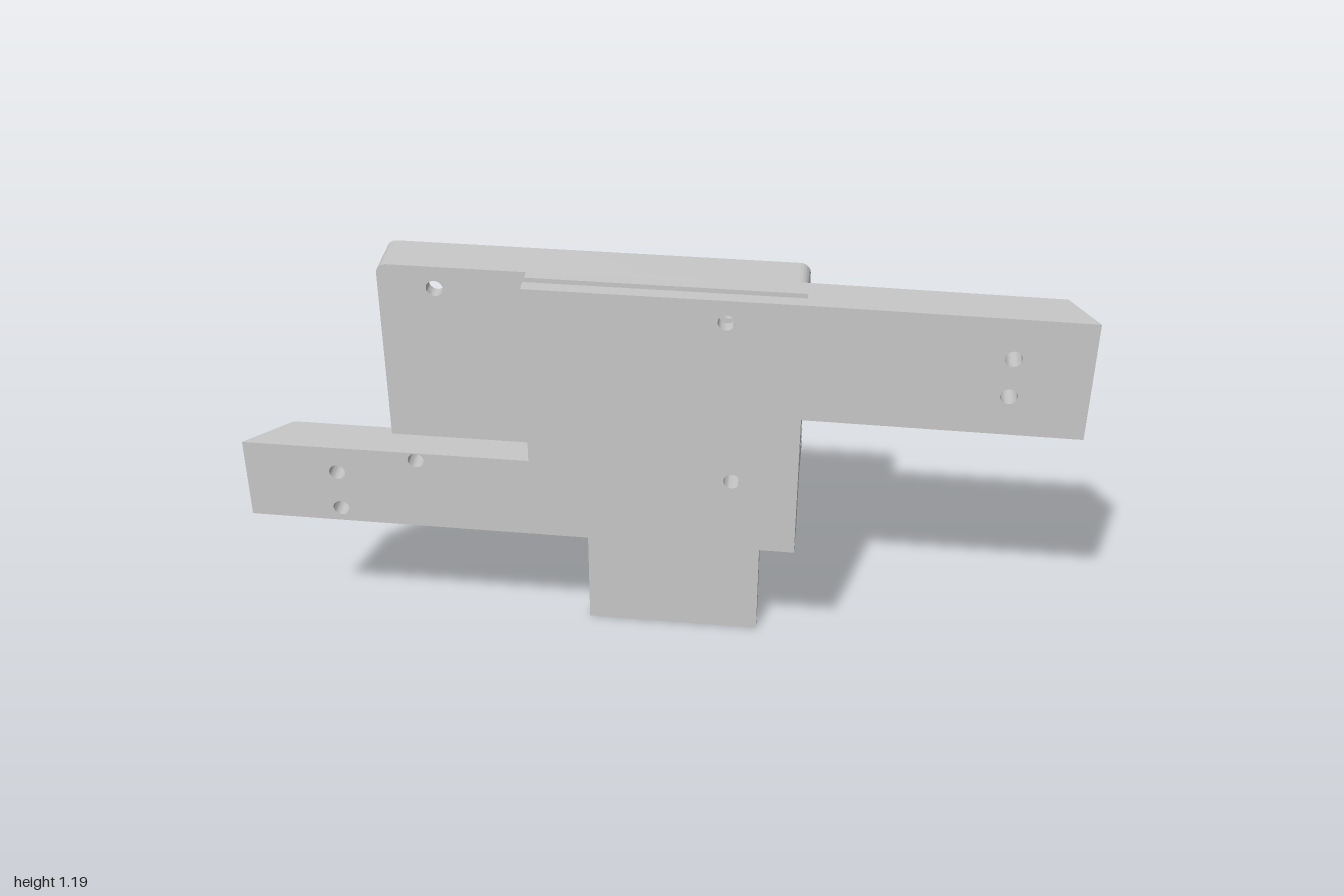
import * as THREE from 'three';
import { toCreasedNormals } from 'three/addons/utils/BufferGeometryUtils.js';

const HOLE_R = 0.02;

// Closed polygon; a point may carry a third value, its corner radius
function outline(points) {
  const s = new THREE.Shape();
  const n = points.length;
  points.forEach(([x, y, r = 0], i) => {
    const p = new THREE.Vector2(x, y);
    const toward = (q) => p.clone().add(new THREE.Vector2(q[0], q[1]).sub(p).setLength(r));
    const a = r ? toward(points[(i + n - 1) % n]) : p;
    if (i === 0) s.moveTo(a.x, a.y); else s.lineTo(a.x, a.y);
    if (r) {
      const b = toward(points[(i + 1) % n]);
      // cubic approximation of a quarter circle
      const c1 = a.clone().lerp(p, 0.5523), c2 = b.clone().lerp(p, 0.5523);
      s.bezierCurveTo(c1.x, c1.y, c2.x, c2.y, b.x, b.y);
    }
  });
  s.closePath();
  return s;
}

// Extrude a shape between two depths, with round screw holes
function extrude(s, z0, z1, holes) {
  for (const [x, y] of holes) {
    s.holes.push(new THREE.Path().absarc(x, y, HOLE_R, 0, Math.PI * 2, true));
  }
  const g = new THREE.ExtrudeGeometry(s, { depth: z1 - z0, bevelEnabled: false, curveSegments: 10 });
  return g.translate(0, 0, z0);
}

// Plate lying in the x-y plane
const plate = (points, z0, z1, holes = []) => extrude(outline(points), z0, z1, holes);

// Slant the far ends of the arms so that the back is shorter than the front
function slantEnds(g, front) {
  const p = g.attributes.position;
  for (let i = 0; i < p.count; i++) {
    const x = p.getX(i), back = front - p.getZ(i);
    if (x > 0.99) p.setX(i, x - back * 0.65);
    if (x < -0.99) p.setX(i, x + back * 1.0);
  }
  g.computeVertexNormals();
  return g;
}

// Side profile given as (-z, y), extruded along x
function sideProfile(points, x0, x1) {
  const g = new THREE.ExtrudeGeometry(outline(points), { depth: x1 - x0, bevelEnabled: false, curveSegments: 12 });
  return g.rotateY(Math.PI / 2).translate(x0, 0, 0);
}

export function createModel() {
  const model = new THREE.Group();
  model.name = 'mountingBracket';
  const grey = new THREE.MeshStandardMaterial({ color: 0xc8c8c8 });
  grey.name = 'light grey plastic';

  const add = (name, geometry, parent = model) => {
    const m = new THREE.Mesh(toCreasedNormals(geometry, 0.5), grey);
    m.name = name;
    parent.add(m);
  };

  const L = -0.645, R = 0.354, MID = -0.293, TOP = 1.187, LOW = 0.63, W = 0.025, r = 0.025;
  const FRONT = 0.162;
  const upperHoles = [[-0.51, 1.13], [0.175, 1.13]];
  const lowerHoles = [[-0.57, 0.691], [0.197, 0.691]];

  // Tray: floor, C-shaped rim with open side, a middle tab and low rings round the holes
  const tray = new THREE.Group();
  tray.name = 'tray';
  model.add(tray);
  add('trayFloor', plate([[L, LOW, r], [R, LOW], [R, TOP], [L, TOP, r]], 0.06, 0.085,
    [...upperHoles, ...lowerHoles]), tray);
  add('trayRim', plate([
    [L, LOW, r], [R, LOW, r], [R, 0.728], [R - W, 0.728], [R - W, LOW + W], [L + W, LOW + W],
    [L + W, TOP - W], [R - W, TOP - W], [R - W, 1.1], [R, 1.1], [R, TOP, r], [L, TOP, r],
  ], -0.03, 0.06), tray);
  add('trayTab', plate([[R - W, 0.83], [R, 0.83], [R, 0.982], [R - W, 0.982]], -0.03, 0.06), tray);
  for (const [x, y] of [...upperHoles, ...lowerHoles]) {
    const disc = new THREE.Shape().absarc(x, y, 0.027, 0, Math.PI * 2, false);
    add('screwRing', extrude(disc, 0.052, 0.06, [[x, y]]), tray);
  }

  // Upper arm in three layers, the middle one cut away for the top slot
  const arm = new THREE.Group();
  arm.name = 'upperArm';
  model.add(arm);
  const armHoles = [upperHoles[1], [0.82, 1.08], [0.82, 0.98]];
  const armOutline = [[MID, 0.71], [R, 0.71], [R, 0.88], [1, 0.875], [1, 1.182], [R, TOP], [MID, TOP]];
  const slotOutline = [...armOutline.slice(0, 6), [R, 1.0], [MID, 1.0]];
  add('armBack', slantEnds(plate(armOutline, 0.06, 0.11, armHoles), FRONT), arm);
  add('armSlotLayer', slantEnds(plate(slotOutline, 0.11, 0.13, armHoles.slice(1)), FRONT), arm);
  add('armFront', slantEnds(plate(armOutline, 0.13, FRONT, armHoles), FRONT), arm);

  // Lower bar
  add('lowerBar', slantEnds(plate([[-1, 0.495], [R, 0.49], [R, 0.712], [-1, 0.712]], 0.06, FRONT,
    [...lowerHoles, [-0.77, 0.64], [-0.77, 0.532]]), FRONT));

  // Hanging clip: curved shoulder, drilled plate and rounded tip
  const clip = new THREE.Group();
  clip.name = 'clip';
  model.add(clip);
  const X0 = -0.199, X1 = 0.256;
  add('clipShoulder', sideProfile([[-0.065, 0.49], [0.123, 0.49], [0.123, 0.4], [0.16, 0.4],
    [0.16, LOW, 0.095], [-0.065, LOW]], X0, X1), clip);
  add('clipPlate', plate([[X0, 0.15], [X1, 0.15], [X1, 0.4], [X0, 0.4]], -0.16, -0.123,
    [[-0.085, 0.3], [0.141, 0.3]]), clip);
  add('clipTip', sideProfile([[0.123, 0], [0.138, 0.018], [0.15, 0.04], [0.157, 0.06], [0.16, 0.085],
    [0.16, 0.15], [0.123, 0.15]], X0, X1), clip);

  return model;
}
